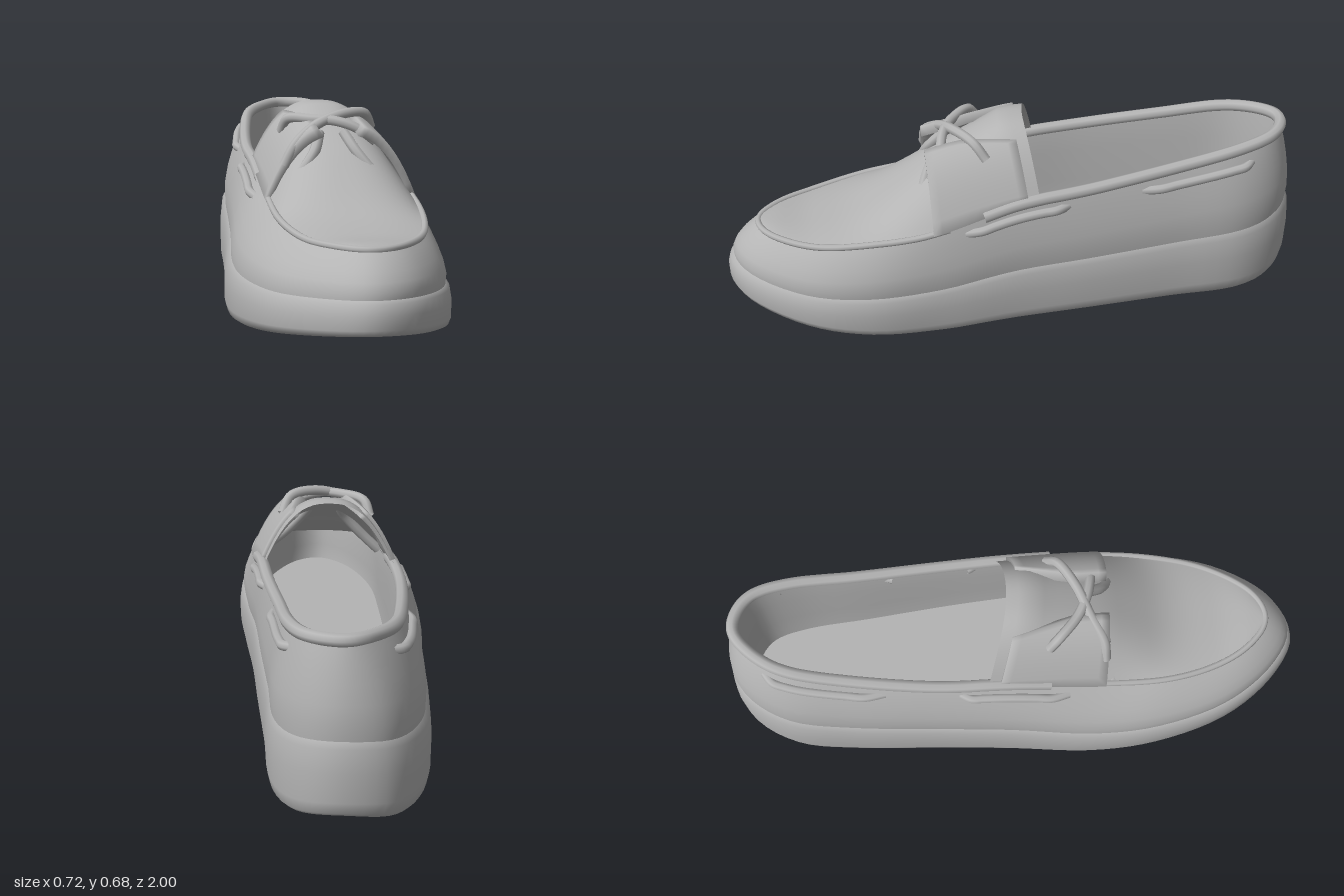
import * as THREE from 'three';
import { mergeVertices } from 'three/addons/utils/BufferGeometryUtils.js';

const V = (x, y, z) => new THREE.Vector3(x, y, z);
const lerp = THREE.MathUtils.lerp;
const SEG = 100;

// Widest outline of the sole (x, z): heel, along the left side, toe, back along the right
const outline = new THREE.CatmullRomCurve3([
  [-0.10, -1.0], [0.03, -0.95], [0.13, -0.8], [0.17, -0.55], [0.22, -0.25],
  [0.26, 0.0], [0.31, 0.25], [0.355, 0.5], [0.33, 0.72], [0.22, 0.92],
  [0.07, 1.0], [-0.08, 0.93], [-0.22, 0.76], [-0.31, 0.52], [-0.345, 0.28],
  [-0.345, 0.0], [-0.35, -0.25], [-0.36, -0.55], [-0.345, -0.78], [-0.25, -0.95],
].map(([x, z]) => V(x, 0, z)), true, 'catmullrom');

// Upper edge (x, y, z) in the same order: collar at the back, toe seam at the front
const rim = new THREE.CatmullRomCurve3([
  [-0.09, 0.58, -0.935], [0.01, 0.575, -0.89], [0.07, 0.555, -0.76], [0.115, 0.52, -0.54], [0.175, 0.485, -0.25],
  [0.22, 0.46, 0.0], [0.275, 0.39, 0.28], [0.28, 0.36, 0.5], [0.25, 0.34, 0.68], [0.17, 0.34, 0.83],
  [0.07, 0.34, 0.88], [-0.03, 0.34, 0.82], [-0.11, 0.34, 0.7], [-0.17, 0.36, 0.53], [-0.20, 0.39, 0.32],
  [-0.235, 0.46, 0.0], [-0.26, 0.485, -0.25], [-0.26, 0.52, -0.54], [-0.24, 0.555, -0.76], [-0.17, 0.575, -0.89],
].map((p) => V(...p)), true, 'catmullrom');

const wrap = (t) => ((t % 1) + 1) % 1;

// Height of the underside: toe spring at the front, slight lift at the heel
function bottomY(z) {
  if (z > 0.2) return 0.11 * Math.pow((z - 0.2) / 0.8, 1.5);
  return z < -0.85 ? 0.04 * Math.min(1, Math.pow((-0.85 - z) / 0.15, 2)) : 0;
}

// Point on the outer wall: t around the shoe, f from sole to rim, out = sideways offset
function wall(t, f, out = 0) {
  const o = outline.getPoint(wrap(t)), r = rim.getPoint(wrap(t));
  const d = V(o.x - r.x, 0, o.z - r.z).normalize();
  const h = f * f * f;
  return V(lerp(o.x, r.x, h), lerp(bottomY(o.z), r.y, f), lerp(o.z, r.z, h)).addScaledVector(d, out);
}

const ring = (fn) => Array.from({ length: SEG + 1 }, (_, i) => fn(i / SEG));

// Smooth surface through rows of points
function loft(rows) {
  const n = rows[0].length, index = [];
  for (let j = 0; j < rows.length - 1; j++) {
    for (let i = 0; i < n - 1; i++) {
      const a = j * n + i, b = a + n;
      index.push(a, b, a + 1, a + 1, b, b + 1);
    }
  }
  let g = new THREE.BufferGeometry().setFromPoints(rows.flat());
  g.setIndex(index);
  g = mergeVertices(g, 1e-5);
  g.computeVertexNormals();
  return g;
}

// Domed vamp: v from instep (0) to toe (1), u across from right (-1) to left (1)
const crownLine = new THREE.CatmullRomCurve3(
  [0.68, 0.53, 0.395, 0.352, 0.35, 0.345].map((y, i) => V(i, y, 0)));
function vamp(v, u, crown, side = 0) {
  const l = rim.getPoint(0.25 + 0.25 * v), r = rim.getPoint(0.75 - 0.25 * v);
  const p = r.lerp(l, (u + 1) / 2);
  const bulge = 1 - Math.pow(Math.min(1, Math.abs(u)), 2.6);
  p.y += (crown - p.y) * bulge;
  p.x += side * Math.sign(u);
  p.z += 0.05 * (1 - u * u) * Math.max(0, 1 - 4 * Math.max(0, v));
  return p;
}

export function createModel() {
  const group = new THREE.Group();
  const grey = new THREE.MeshStandardMaterial({ color: 0xb4b4b4, side: THREE.DoubleSide });
  grey.name = 'plain grey';
  const add = (name, geometry) => {
    const m = new THREE.Mesh(geometry, grey);
    m.name = name;
    group.add(m);
    return m;
  };
  const cord = (name, pts, radius) => add(name, new THREE.TubeGeometry(
    new THREE.CatmullRomCurve3(pts), pts.length * 6, radius, 8, false));

  // Sole sidewall with a small ledge, then the upper
  const levels = (list) => list.map(([f, out]) => ring((t) => wall(t, f, out)));
  add('soleSidewall', loft(levels([[0, -0.025], [0.03, -0.008], [0.1, 0], [0.28, 0.003], [0.42, 0], [0.46, -0.012]])));
  add('upper', loft(levels([[0.44, -0.012], [0.55, -0.002], [0.66, 0], [0.77, 0], [0.87, 0], [0.94, 0], [1, 0]])));

  // Underside, following the toe spring
  add('outsole', loft([1, 0.75, 0.5, 0.25, 0].map((s) => ring((t) => {
    const p = wall(t, 0, -0.025);
    const z = p.z * s;
    return V(p.x * s, s === 1 ? p.y : bottomY(z), z);
  }))));

  // Lining and insole
  const inner = (t, depth, inset) => {
    const r = rim.getPoint(wrap(t)), o = outline.getPoint(wrap(t));
    const d = V(r.x - o.x, 0, r.z - o.z).normalize();
    const p = r.clone().addScaledVector(d, inset);
    p.y = lerp(r.y, 0.15, depth);
    return p;
  };
  add('lining', loft([[0, 0], [0.3, 0.012], [0.7, 0.008], [1, 0.015]].map(([d, i]) => ring((t) => inner(t, d, i)))));
  add('insole', loft([ring((t) => inner(t, 1, 0.015)), ring(() => V(0, 0.15, 0))]));

  // Padded collar roll and raised toe seam
  const rimPart = (from, to, n) => Array.from({ length: n + 1 }, (_, i) => rim.getPoint(wrap(lerp(from, to, i / n))));
  cord('collarRoll', rimPart(-0.27, 0.27, 30), 0.021);
  cord('toeSeam', rimPart(0.29, 0.71, 24), 0.011);

  // Toe plug running up into the tongue
  const plugRows = [];
  for (let j = 0; j <= 32; j++) {
    const v = lerp(-0.06, 1, j / 32);
    const crown = crownLine.getPoint(Math.max(0, v)).y;
    plugRows.push(Array.from({ length: 25 }, (_, i) => vamp(v, -1 + i / 12, crown)));
  }
  add('toePlugAndTongue', loft(plugRows));

  // Eyelet flaps standing over the tongue
  for (const s of [1, -1]) {
    const rows = [];
    for (let j = 0; j <= 10; j++) {
      const k = j / 10, v = lerp(-0.03, 0.2, k), crown = lerp(0.685, 0.63, k);
      const edge = lerp(0.5, 0.27, Math.min(1, k * 1.6));
      const us = Array.from({ length: 11 }, (_, i) => s * lerp(1, edge, i / 10));
      const top = us.map((u) => vamp(v, u, crown, 0.012));
      const under = us.map((u) => vamp(v, u, crown - 0.03, -0.008)).reverse();
      if (j === 0) rows.push([...under.slice().reverse(), ...under, under[10]]);
      rows.push([...top, ...under, top[0]]);
      if (j === 10) rows.push([...under.slice().reverse(), ...under, under[10]]);
    }
    add(s > 0 ? 'leftEyeletFlap' : 'rightEyeletFlap', loft(rows));
  }

  // Crossed front laces with their loose ends
  cord('frontLaceA', [V(-0.15, 0.5, 0.31), V(-0.11, 0.57, 0.3), V(-0.04, 0.625, 0.25), V(0.05, 0.655, 0.2), V(0.13, 0.65, 0.14), V(0.155, 0.6, 0.1)], 0.017);
  cord('frontLaceB', [V(-0.15, 0.59, 0.12), V(-0.13, 0.635, 0.15), V(-0.05, 0.64, 0.21), V(0.03, 0.635, 0.24), V(0.1, 0.61, 0.25), V(0.155, 0.57, 0.25)], 0.017);
  cord('rightLaceEnd', [V(-0.03, 0.6, 0.24), V(-0.05, 0.54, 0.29), V(-0.11, 0.46, 0.32), V(-0.18, 0.385, 0.34)], 0.018);
  cord('leftLaceEnd', [V(0.05, 0.6, 0.24), V(0.09, 0.54, 0.29), V(0.16, 0.46, 0.32), V(0.25, 0.385, 0.33)], 0.018);

  // Side lace showing through the collar, front and back lengths on both sides
  const sideLace = (name, from, to, f) => cord(name,
    Array.from({ length: 9 }, (_, i) => wall(lerp(from, to, i / 8), f, i % 8 ? 0.004 : -0.015)), 0.016);
  sideLace('leftFrontSideLace', 0.215, 0.28, 0.9);
  sideLace('leftBackSideLace', 0.085, 0.17, 0.89);
  sideLace('rightFrontSideLace', 0.72, 0.785, 0.9);
  sideLace('rightBackSideLace', 0.83, 0.92, 0.89);

  return group;
}
